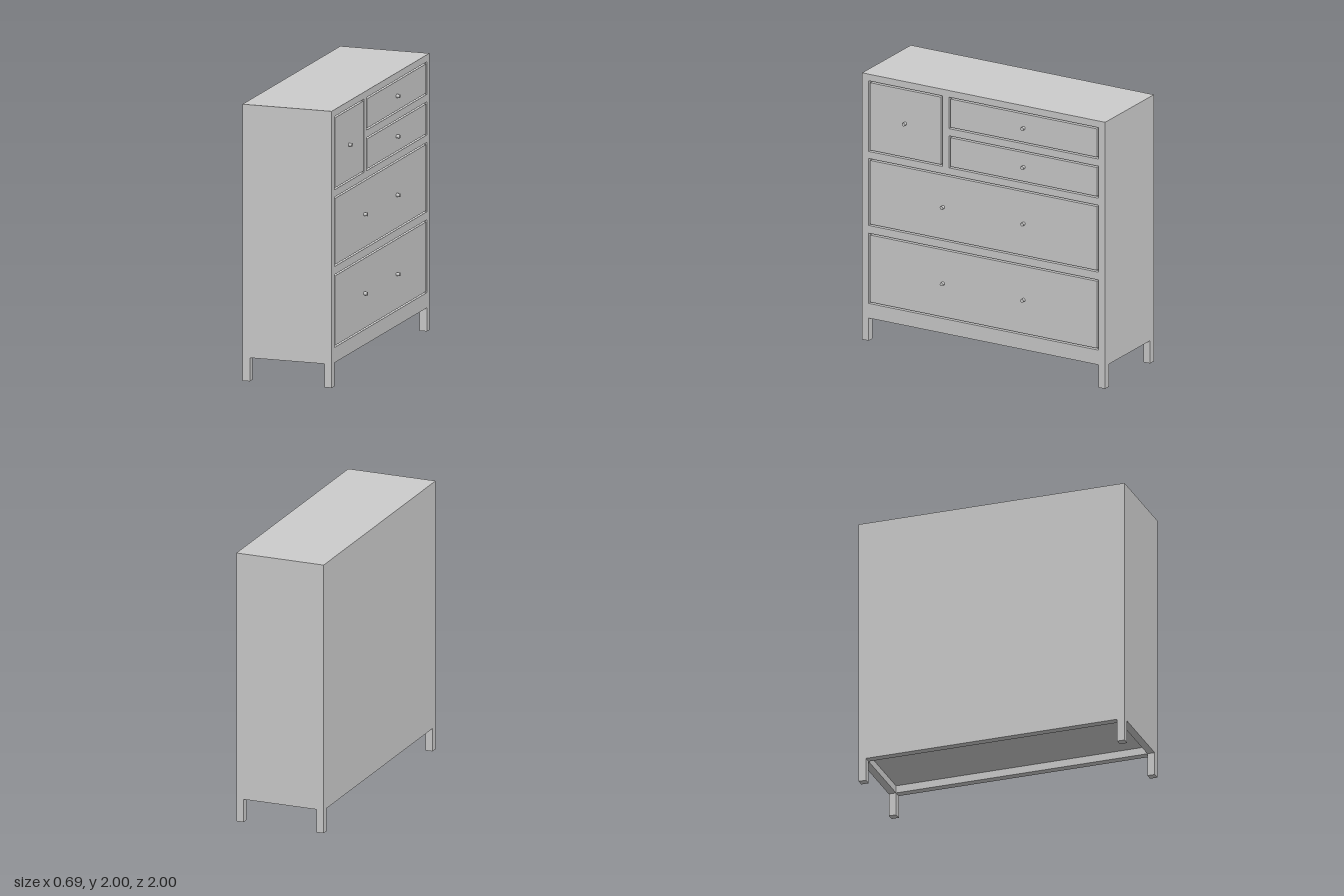
import * as THREE from 'three';

const BACK = -0.35, FRONT = 0.32, HALF = 1, TOP = 2;
const LEG = 0.055, LEG_TOP = 0.17, FLOOR = 0.225;
const GROOVE = 0.03, GAP = 0.012;

// z0..z1, y0..y1 of each opening, and the z positions of its knobs
const DRAWERS = [
  { name: 'smallSquareDrawer', z0: 0.34, z1: 0.945, y0: 1.42, y1: 1.95, knobs: [0.645] },
  { name: 'topDrawer', z0: -0.945, z1: 0.285, y0: 1.714, y1: 1.95, knobs: [-0.33] },
  { name: 'secondDrawer', z0: -0.945, z1: 0.285, y0: 1.42, y1: 1.66, knobs: [-0.33] },
  { name: 'middleDrawer', z0: -0.945, z1: 0.945, y0: 0.865, y1: 1.367, knobs: [0.333, -0.33] },
  { name: 'bottomDrawer', z0: -0.945, z1: 0.945, y0: 0.28, y1: 0.807, knobs: [0.333, -0.33] },
];

const material = new THREE.MeshStandardMaterial({ color: 0xcccccc });

function add(parent, name, geometry, x = 0, y = 0, z = 0) {
  const mesh = new THREE.Mesh(geometry, material);
  mesh.name = name;
  mesh.position.set(x, y, z);
  parent.add(mesh);
  return mesh;
}

// Box given by its limits on each axis
function block(parent, name, x0, x1, y0, y1, z0, z1) {
  return add(parent, name, new THREE.BoxGeometry(x1 - x0, y1 - y0, z1 - z0),
    (x0 + x1) / 2, (y0 + y1) / 2, (z0 + z1) / 2);
}

function rect(PathType, u0, u1, v0, v1) {
  return new PathType([[u0, v0], [u1, v0], [u1, v1], [u0, v1]].map(p => new THREE.Vector2(...p)));
}

export function createModel() {
  const chest = new THREE.Group();
  chest.name = 'chestOfDrawers';

  // Carcass behind the face frame
  block(chest, 'carcass', BACK, FRONT - GROOVE, FLOOR, TOP, -HALF, HALF);

  // Face frame with an opening for each drawer
  const face = rect(THREE.Shape, -HALF, HALF, FLOOR, TOP);
  for (const d of DRAWERS) face.holes.push(rect(THREE.Path, -d.z1, -d.z0, d.y0, d.y1));
  const frame = new THREE.ExtrudeGeometry(face, { depth: GROOVE, bevelEnabled: false });
  frame.rotateY(Math.PI / 2);
  add(chest, 'faceFrame', frame, FRONT - GROOVE);

  // Base rim around the recessed underside
  const base = rect(THREE.Shape, BACK, FRONT, -HALF, HALF);
  base.holes.push(rect(THREE.Path, BACK + LEG, FRONT - LEG, -HALF + LEG, HALF - LEG));
  const rim = new THREE.ExtrudeGeometry(base, { depth: FLOOR - LEG_TOP, bevelEnabled: false });
  rim.rotateX(-Math.PI / 2);
  add(chest, 'baseRim', rim, 0, LEG_TOP);

  // Square legs, flush with the corners
  for (const x of [BACK, FRONT - LEG]) {
    for (const z of [-HALF, HALF - LEG]) {
      block(chest, 'leg', x, x + LEG, 0, LEG_TOP, z, z + LEG);
    }
  }

  // Flush drawer fronts with round knobs
  const knob = new THREE.CylinderGeometry(0.013, 0.013, 0.025, 16).rotateZ(-Math.PI / 2);
  for (const d of DRAWERS) {
    const drawer = new THREE.Group();
    drawer.name = d.name;
    block(drawer, 'drawerFront', FRONT - GROOVE, FRONT,
      d.y0 + GAP, d.y1 - GAP, d.z0 + GAP, d.z1 - GAP);
    for (const z of d.knobs) add(drawer, 'knob', knob, FRONT + 0.0125, (d.y0 + d.y1) / 2, z);
    chest.add(drawer);
  }
  return chest;
}
